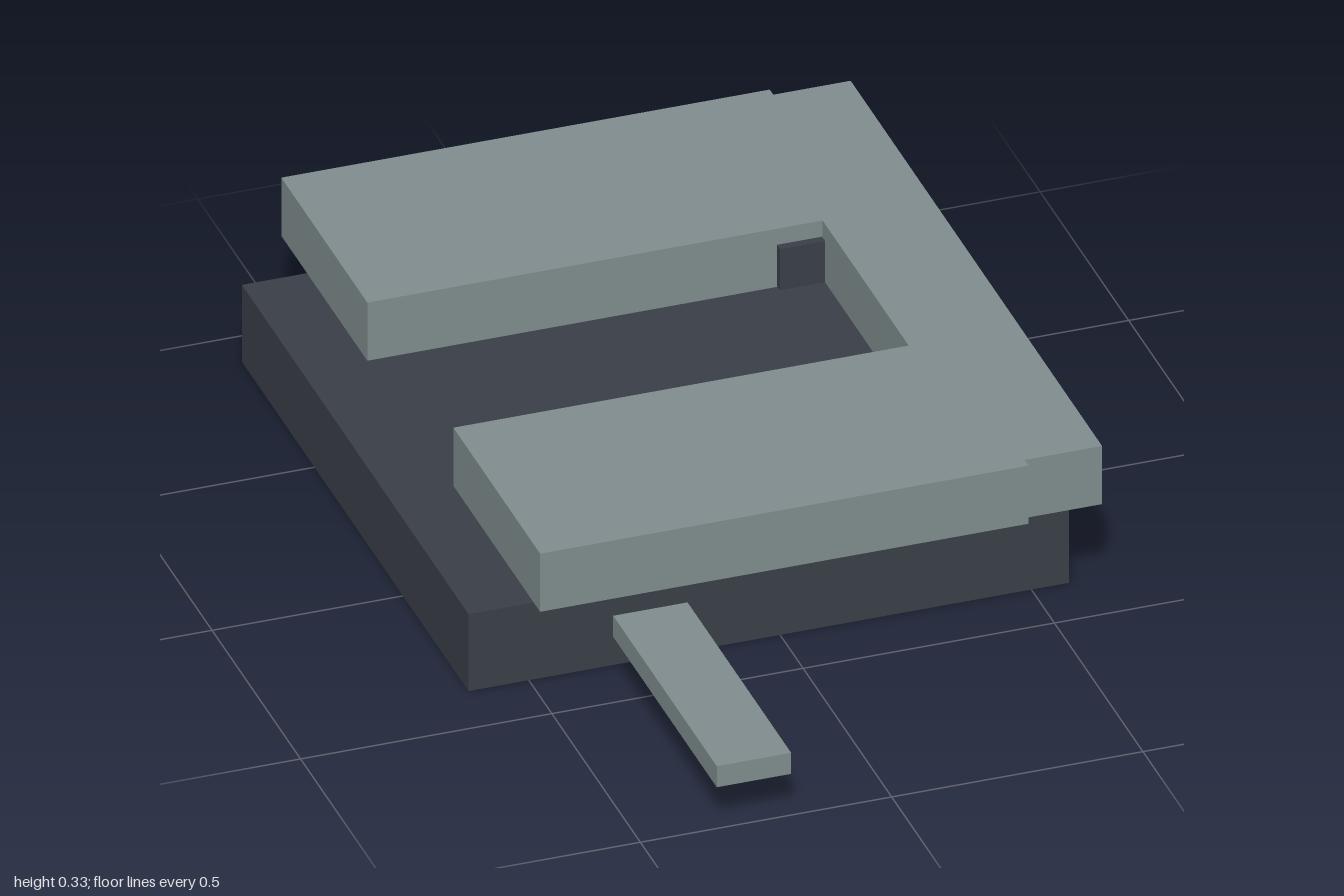
import * as THREE from 'three';

export function createModel() {
  const model = new THREE.Group();
  const dark = new THREE.MeshStandardMaterial({ name: 'charcoal', color: 0x3a3f47 });
  const grey = new THREE.MeshStandardMaterial({ name: 'steelGrey', color: 0x7f8c8d });

  // Box given by its extents along each axis
  function box(name, material, [x0, x1], [y0, y1], [z0, z1]) {
    const mesh = new THREE.Mesh(new THREE.BoxGeometry(x1 - x0, y1 - y0, z1 - z0), material);
    mesh.position.set((x0 + x1) / 2, (y0 + y1) / 2, (z0 + z1) / 2);
    mesh.name = name;
    model.add(mesh);
  }

  // Solid base block
  box('base', dark, [-0.62, 0.575], [0, 0.168], [-0.91, 0.37]);

  // U-shaped top plate: two arms joined by a slightly shorter crossbar (x, z outline)
  const outline = [
    [-0.51, -1], [0.462, -1], [0.462, -0.98], [0.616, -0.98],
    [0.616, 0.44], [0.462, 0.44], [0.462, 0.462], [-0.51, 0.462],
    [-0.51, -0.028], [0.396, -0.028], [0.396, -0.514], [-0.51, -0.514],
  ].map(([x, z]) => new THREE.Vector2(x, z));
  const plateGeometry = new THREE.ExtrudeGeometry(new THREE.Shape(outline), {
    depth: 0.127, bevelEnabled: false,
  });
  plateGeometry.rotateX(Math.PI / 2);
  const plate = new THREE.Mesh(plateGeometry, grey);
  plate.position.y = 0.33;
  plate.name = 'topPlate';
  model.add(plate);

  // Small contact tabs on the inner walls of the slot
  const slotCentre = -0.271;
  for (const side of [-1, 1]) {
    const a = slotCentre + side * 0.226;
    const b = slotCentre + side * 0.25;
    box(side > 0 ? 'frontTab' : 'backTab', dark,
      [0.305, 0.395], [0.205, 0.295], [Math.min(a, b), Math.max(a, b)]);
  }

  // Flat lever reaching out at the front
  box('lever', grey, [-0.348, -0.2], [0.09, 0.136], [0.415, 1]);

  return model;
}
